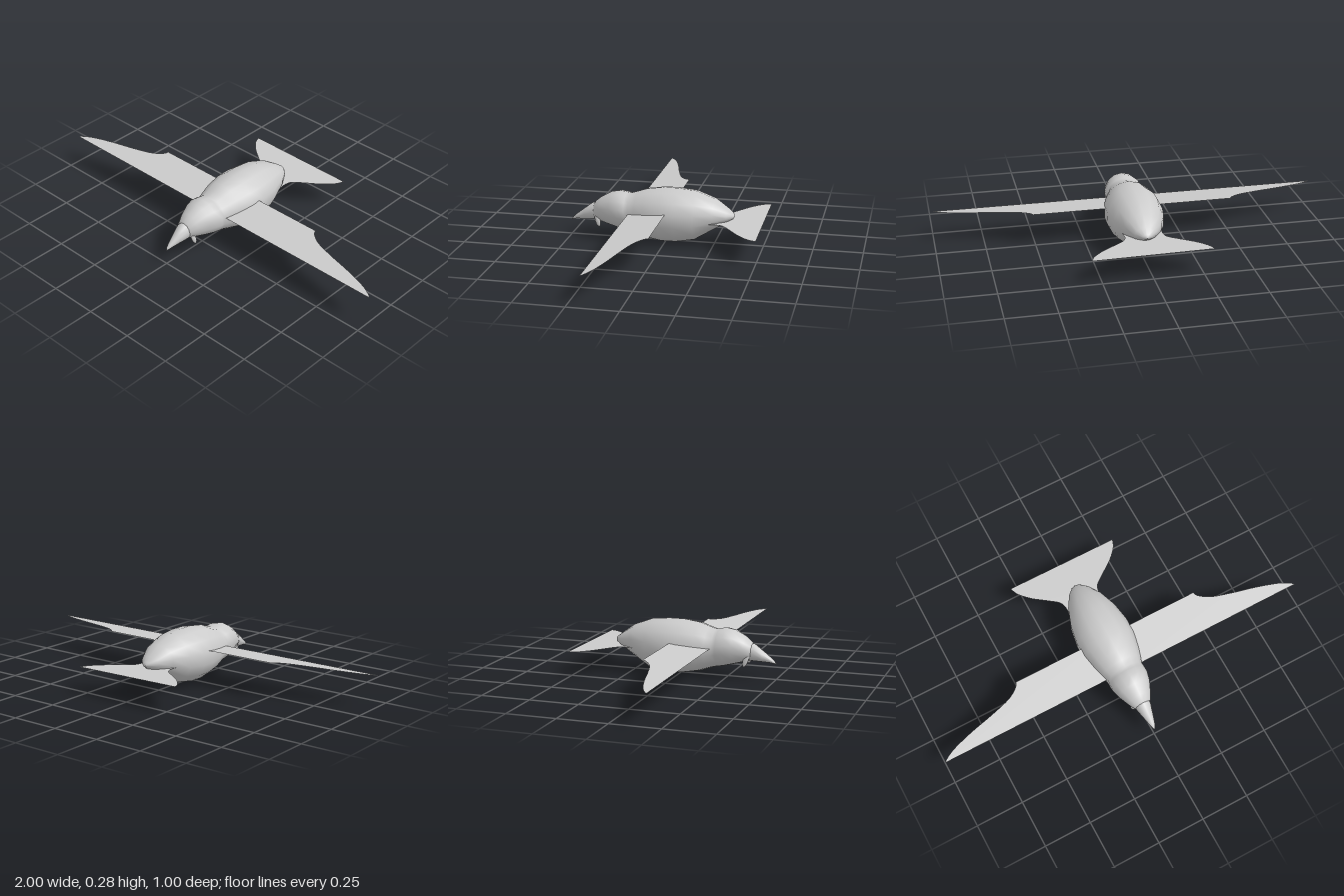
import * as THREE from 'three';

const solid = new THREE.MeshStandardMaterial({ color: 0xcccccc });
const thin = new THREE.MeshStandardMaterial({ color: 0xcccccc, side: THREE.DoubleSide });

// Loft of oval rings along z; each station is [z, top, bottom, halfWidth], ordered back to front
function loft(stations, sides) {
  const pos = [], index = [];
  for (const [z, top, bottom, w] of stations) {
    for (let i = 0; i < sides; i++) {
      const a = -Math.PI / 2 + (i / sides) * Math.PI * 2;
      pos.push(w * Math.cos(a), (top + bottom) / 2 + ((top - bottom) / 2) * Math.sin(a), z);
    }
  }
  for (let s = 0; s < stations.length - 1; s++) {
    for (let i = 0; i < sides; i++) {
      const a = s * sides + i, b = s * sides + ((i + 1) % sides);
      index.push(a, b, b + sides, a, b + sides, a + sides);
    }
  }
  const geo = new THREE.BufferGeometry();
  geo.setAttribute('position', new THREE.Float32BufferAttribute(pos, 3));
  geo.setIndex(index);
  geo.computeVertexNormals();
  return geo;
}

// Flat horizontal sheet from a shape drawn in x and -z
function sheet(shape) {
  return new THREE.ShapeGeometry(shape, 12).rotateX(-Math.PI / 2);
}

function named(name, geo, material = solid) {
  const mesh = new THREE.Mesh(geo, material);
  mesh.name = name;
  return mesh;
}

export function createModel() {
  const bird = new THREE.Group();
  bird.name = 'bird';

  // Body with neck and head
  bird.add(named('body', loft([
    [-0.352, 0.151, 0.149, 0.001], [-0.345, 0.166, 0.138, 0.022], [-0.315, 0.190, 0.120, 0.055],
    [-0.25, 0.235, 0.080, 0.095], [-0.155, 0.271, 0.020, 0.130], [-0.06, 0.280, 0.003, 0.146],
    [0.015, 0.280, 0.002, 0.145], [0.10, 0.268, 0.017, 0.127], [0.15, 0.251, 0.034, 0.112],
    [0.185, 0.240, 0.045, 0.100], [0.205, 0.244, 0.048, 0.101], [0.24, 0.250, 0.055, 0.100],
    [0.285, 0.242, 0.067, 0.088], [0.34, 0.211, 0.083, 0.064], [0.37, 0.186, 0.092, 0.047],
    [0.385, 0.165, 0.105, 0.025], [0.388, 0.136, 0.134, 0.001],
  ], 14)));

  // Drooping pointed beak
  bird.add(named('beak', loft([
    [0.34, 0.178, 0.092, 0.042], [0.385, 0.178, 0.088, 0.040], [0.43, 0.144, 0.087, 0.027],
    [0.475, 0.109, 0.085, 0.014], [0.49, 0.095, 0.081, 0.008], [0.50, 0.081, 0.079, 0.001],
  ], 12)));

  for (const side of [-1, 1]) {
    const label = side > 0 ? 'left' : 'right';

    // Swept wing, trailing edge slightly raised
    const wing = new THREE.Shape();
    wing.moveTo(0, -0.18);
    wing.lineTo(side, -0.18);
    wing.splineThru([[0.985, -0.166], [0.93, -0.138], [0.82, -0.104], [0.68, -0.07],
      [0.58, -0.04], [0.525, -0.005], [0.51, 0.02]].map(([x, y]) => new THREE.Vector2(side * x, y)));
    wing.lineTo(0, 0.02);
    const wingGeo = sheet(wing);
    const p = wingGeo.attributes.position;
    for (let i = 0; i < p.count; i++) p.setY(i, 0.155 + (0.18 - p.getZ(i)) * 0.115);
    wingGeo.computeVertexNormals();
    bird.add(named(label + 'Wing', wingGeo, thin));

    // Small flap hanging beside the beak
    const flap = named(label + 'Wattle', new THREE.SphereGeometry(1, 10, 8));
    flap.scale.set(0.008, 0.036, 0.014);
    flap.position.set(side * 0.042, 0.098, 0.352);
    flap.rotation.set(0.3, 0, side * 0.15);
    bird.add(flap);
  }

  // Flared tail fan
  const half = [[0.10, 0.22], [0.096, 0.27], [0.11, 0.31], [0.16, 0.35], [0.23, 0.402],
    [0.28, 0.455], [0.30, 0.50]].map(([x, y]) => new THREE.Vector2(x, y));
  const tail = new THREE.Shape();
  tail.moveTo(half[0].x, half[0].y);
  tail.splineThru(half.slice(1));
  tail.lineTo(-0.30, 0.50);
  tail.splineThru(half.slice(0, -1).reverse().map((v) => new THREE.Vector2(-v.x, v.y)));
  const tailMesh = named('tail', sheet(tail), thin);
  tailMesh.position.y = 0.13;
  tailMesh.rotation.z = -0.012;
  bird.add(tailMesh);

  return bird;
}
